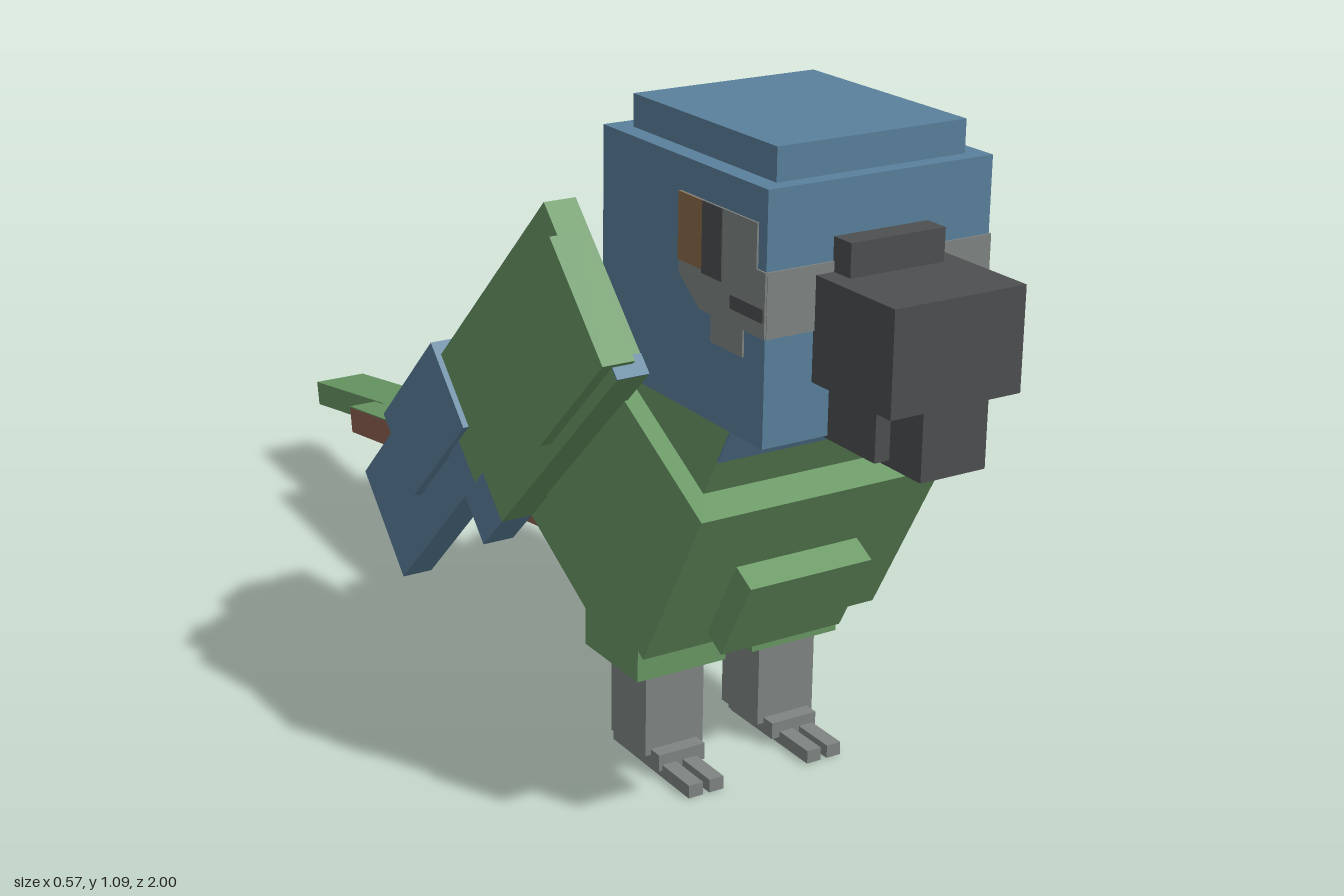
import * as THREE from 'three';

const mat = (name, color) => Object.assign(new THREE.MeshStandardMaterial({ color }), { name });

export function createModel() {
  const model = new THREE.Group();
  model.name = 'blockParrot';

  const blue = mat('blue', 0x5a819c);
  const green = mat('green', 0x689763);
  const grey = mat('grey', 0x7f8584);
  const dark = mat('charcoal', 0x4d4f50);
  const red = mat('rustRed', 0x8f6052);
  const amber = mat('amberBrown', 0x8a6a4a);
  const olive = mat('olive', 0x85805c);
  const inner = mat('paleGreen', 0x82907a);

  const add = (name, geometry, material) => {
    const mesh = new THREE.Mesh(geometry, material);
    mesh.name = name;
    model.add(mesh);
    return mesh;
  };

  // Upright box given by its extents
  const box = (name, m, x0, x1, y0, y1, z0, z1) =>
    add(name, new THREE.BoxGeometry(x1 - x0, y1 - y0, z1 - z0), m)
      .position.set((x0 + x1) / 2, (y0 + y1) / 2, (z0 + z1) / 2);

  // Tilted box: lower back corner (z, y), pitch in degrees, size along and across;
  // u and v shift the corner along and across the tilted axes
  const slab = (name, m, x0, x1, [z, y], deg, along, across, u = 0, v = 0) => {
    const a = THREE.MathUtils.degToRad(deg), c = Math.cos(a), s = Math.sin(a);
    const p = u + along / 2, q = v + across / 2;
    const mesh = add(name, new THREE.BoxGeometry(x1 - x0, across, along), m);
    mesh.position.set((x0 + x1) / 2, y + p * s + q * c, z + p * c - q * s);
    mesh.rotation.x = -a;
  };

  // Head and crown
  box('head', blue, -0.19, 0.19, 0.67, 1.04, 0.39, 0.82);
  box('crown', blue, -0.16, 0.16, 1.04, 1.09, 0.425, 0.795);
  box('faceBand', grey, -0.19, 0.19, 0.83, 0.925, 0.818, 0.823);

  // Beak
  box('beak', dark, -0.11, 0.11, 0.755, 0.91, 0.82, 1);
  box('beakRidge', dark, -0.08, 0.08, 0.91, 0.96, 0.82, 0.86);
  box('beakHook', dark, -0.055, 0.055, 0.655, 0.755, 0.89, 1);
  box('lowerBeak', dark, -0.08, 0.08, 0.665, 0.755, 0.78, 0.93);

  // Cheek patches and eyes
  const cheekPoints = [
    [0.822, 0.83], [0.822, 0.925], [0.8, 0.925], [0.8, 0.99], [0.605, 0.99], [0.605, 0.87],
    [0.66, 0.83], [0.69, 0.83], [0.69, 0.79], [0.77, 0.79], [0.77, 0.83],
  ].map(([z, y]) => new THREE.Vector2(z, y));
  const cheek = new THREE.ExtrudeGeometry(new THREE.Shape(cheekPoints), { depth: 0.004, bevelEnabled: false });
  cheek.rotateY(-Math.PI / 2);
  for (const s of [1, -1]) {
    add('cheekPatch', cheek, grey).position.x = s > 0 ? 0.193 : -0.189;
    const plate = (name, m, y0, y1, z0, z1) => {
      const x = s * 0.192;
      box(name, m, x - 0.003, x + 0.003, y0, y1, z0, z1);
    };
    plate('iris', amber, 0.89, 0.99, 0.605, 0.667);
    plate('pupil', dark, 0.885, 0.99, 0.667, 0.717);
    plate('beakLine', dark, 0.853, 0.873, 0.74, 0.82);
  }

  // Leaning neck, body, chest plate and rump
  const lean = -29;
  slab('neck', green, -0.186, 0.186, [0.345, 0.73], lean, 0.37, 0.14);
  slab('neckFront', blue, -0.186, 0.186, [0.345, 0.73], lean, 0.004, 0.07, 0.369, 0.07);
  slab('body', green, -0.215, 0.215, [0.126, 0.483], lean, 0.49, 0.32);
  slab('chestPlate', green, -0.11, 0.11, [0.565, 0.275], lean, 0.05, 0.157);
  slab('rump', green, -0.163, 0.163, [0.11, 0.315], lean, 0.32, 0.25);

  // Tail in three overlapping steps
  slab('tailBase', red, -0.158, 0.158, [-0.205, 0.253], 7.5, 0.34, 0.04);
  slab('tailBaseStripe', olive, -0.055, 0, [-0.205, 0.253], 7.5, 0.3, 0.004, 0.03, 0.038);
  slab('tailMiddle', red, -0.107, 0.107, [-0.713, 0.18], 8.5, 0.54, 0.05);
  slab('tailMiddleTop', green, -0.107, 0.107, [-0.713, 0.18], 8.5, 0.217, 0.003, 0, 0.049);
  slab('tailTip', [green, green, green, red, green, green], -0.052, 0.052, [-0.993, 0.14], 9.5, 0.32, 0.047);

  const tilt = 44.5;
  for (const s of [1, -1]) {
    const span = (x0, x1) => (s > 0 ? [x0, x1] : [-x1, -x0]);
    // Outer faces in one colour, the face toward the body in another
    const lined = (m, lining) => [s > 0 ? m : lining, s > 0 ? lining : m, m, m, m, m];

    // Upper wing, with a stepped blue end
    const wing = [0.135, 0.29], wx = span(0.21, 0.265);
    slab('upperWing', lined(green, inner), ...wx, wing, tilt, 0.5, 0.304, 0.09);
    slab('upperWingStep', lined(green, inner), ...wx, wing, tilt, 0.04, 0.214, 0.05, 0.09);
    slab('upperWingEnd', lined(blue, grey), ...wx, wing, tilt, 0.09, 0.09);
    slab('upperWingEnd', lined(blue, grey), ...wx, wing, tilt, 0.05, 0.214, 0, 0.09);
    slab('wingFrontStripe', blue, ...wx, wing, tilt, 0.004, 0.035, 0.588);
    slab('shoulder', green, ...span(0.23, 0.285), [0.36, 0.54], tilt, 0.265, 0.22);

    // Lower wing and its cover feathers
    slab('lowerWing', lined(blue, grey), ...span(0.205, 0.26), [-0.18, 0.11], tilt, 0.42, 0.21);
    slab('wingCovert', blue, ...span(0.22, 0.275), [-0.1, 0.295], tilt, 0.265, 0.16);

    // Thigh, leg, foot and toes
    box('thigh', green, ...span(0.025, 0.188), 0.175, 0.34, 0.335, 0.495);
    box('leg', grey, ...span(0.053, 0.16), 0.03, 0.18, 0.37, 0.475);
    box('foot', grey, ...span(0.065, 0.15), 0.012, 0.04, 0.38, 0.5);
    for (const x of [0.08, 0.118])
      box('toe', grey, ...span(x, x + 0.026), 0, 0.022, 0.35, 0.578);
  }

  return model;
}
